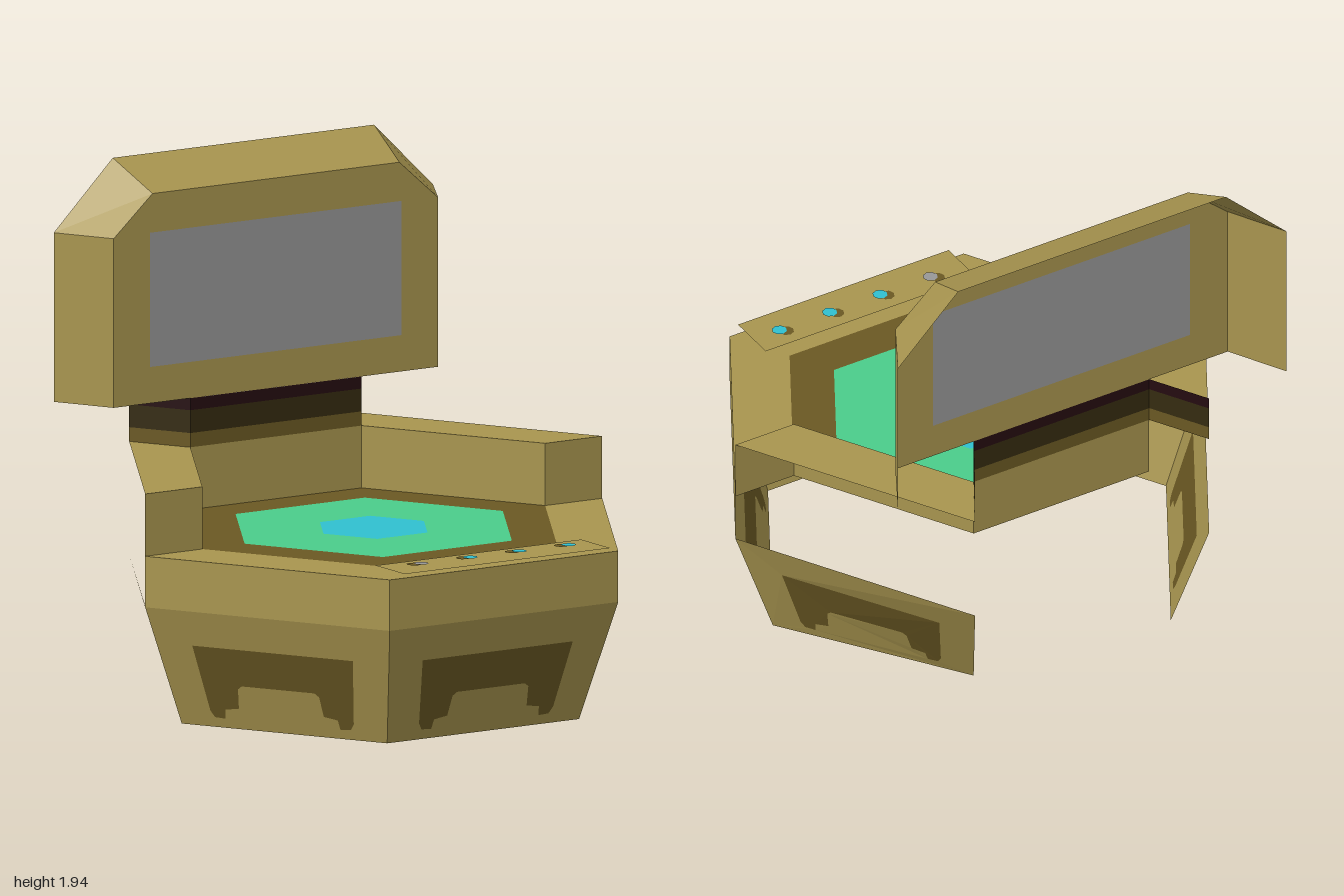
import * as THREE from 'three';

const CZ = -0.012; // centre of the hexagon in z

function material(name, color) {
  const m = new THREE.MeshStandardMaterial({ color, side: THREE.DoubleSide, flatShading: true });
  m.name = name;
  return m;
}

// corner k of a hexagon; 0 = +x, 1 and 2 = front, 4 and 5 = back
const corner = (k, r, y) => {
  const a = k * Math.PI / 3;
  return new THREE.Vector3(r * Math.cos(a), y, CZ + r * Math.sin(a));
};

// flat faces from lists of four corners
function quads(list) {
  const points = [];
  for (const [a, b, c, d] of list) points.push(a, b, c, a, c, d);
  const g = new THREE.BufferGeometry().setFromPoints(points);
  g.computeVertexNormals();
  return g;
}

// band between two hexagons over the sides listed
const band = (sides, r0, y0, r1, y1) => quads(sides.map(k =>
  [corner(k, r0, y0), corner(k, r1, y1), corner(k + 1, r1, y1), corner(k + 1, r0, y0)]));

// lay a flat shape (u -1..1, v 0..1) over a four-cornered panel
function layOn(shape, [bl, br, tr, tl]) {
  const g = new THREE.ShapeGeometry(shape).toNonIndexed();
  const p = g.attributes.position;
  for (let i = 0; i < p.count; i++) {
    const u = (p.getX(i) + 1) / 2, v = p.getY(i);
    const low = bl.clone().lerp(br, u), high = tl.clone().lerp(tr, u);
    low.lerp(high, v);
    p.setXYZ(i, low.x, low.y, low.z);
  }
  g.computeVertexNormals();
  return g;
}

const shapeOf = pts => new THREE.Shape(pts.map(([x, y]) => new THREE.Vector2(x, y)));
const mirrored = half => [...half, ...half.map(([x, y]) => [-x, y]).reverse()];

export function createModel() {
  const model = new THREE.Group();
  const gold = material('gold', 0xa8954f);
  const brown = material('brown', 0x6a5823);
  const darkBrown = material('dark brown', 0x352b10);
  const nearBlack = material('near black', 0x250c10);
  const green = material('green', 0x4acd8a);
  const cyan = material('cyan', 0x30c0d0);
  const grey = material('grey', 0x979797);
  const add = (name, geometry, mat) => {
    const mesh = new THREE.Mesh(geometry, mat);
    mesh.name = name;
    model.add(mesh);
    return mesh;
  };

  // sloping base panels with arch-shaped insets; the back side is open
  const arch = mirrored([[0.33, 0.38], [0.37, 0.35], [0.40, 0.18], [0.53, 0.16],
    [0.55, 0.08], [0.65, 0.085], [0.68, 0.14], [0.69, 0.70]]);
  const panel = shapeOf([[-1, 0], [1, 0], [1, 1], [-1, 1]]);
  panel.holes.push(shapeOf(arch));
  for (const k of [0, 1, 2, 3, 5]) {
    const c = [corner(k + 1, 0.84, 0), corner(k, 0.84, 0), corner(k, 1, 0.45), corner(k + 1, 1, 0.45)];
    if (k === 5) c[1] = corner(5, 0.75, 0); // this panel twists inward at its rear foot
    add('basePanel', layOn(panel, c), gold);
    add('baseInset', layOn(shapeOf(arch), c), brown);
  }

  // low front wall and rim
  add('frontWall', band([0, 1, 2], 1, 0.45, 1, 0.64), gold);
  add('frontRim', band([0, 1, 2], 0.75, 0.64, 1, 0.64), gold);

  // raised back wall, side rims and their end faces
  add('backWall', band([3, 4, 5], 0.75, 0.64, 0.75, 0.872), gold);
  add('backRim', band([3, 5], 0.75, 0.872, 1, 0.872), gold);
  add('rimEnds', quads([0, 3].map(k => [corner(k, 0.75, 0.64), corner(k, 1, 0.64),
    corner(k, 1, 0.872), corner(k, 0.75, 0.872)])), gold);

  // table top in nested hexagons
  const all = [0, 1, 2, 3, 4, 5];
  add('tableBorder', band(all, 0.565, 0.64, 0.75, 0.64), brown);
  add('tableField', band(all, 0.22, 0.64, 0.565, 0.64), green);
  add('tableCentre', band(all, 0, 0.64, 0.22, 0.64), cyan);

  // control plate with four buttons
  const plate = add('controlPlate', new THREE.PlaneGeometry(0.9, 0.195).rotateX(-Math.PI / 2), gold);
  plate.position.set(0, 0.66, 0.78);
  [-0.32, -0.105, 0.11, 0.325].forEach((x, i) => {
    const disc = (name, dx, y, z, mat) => {
      const d = add(name, new THREE.CircleGeometry(0.028, 8).rotateX(-Math.PI / 2), mat);
      d.position.set(x + dx, y, z);
    };
    disc('buttonSocket', -0.005, 0.663, 0.75, brown);
    disc('button', 0.017, 0.666, 0.764, i === 0 ? grey : cyan);
  });

  // three-sided neck in stacked stripes
  const neckBand = (y0, y1) => quads([
    [corner(5, 1, y0), corner(5, 0.75, y0), corner(5, 0.75, y1), corner(5, 1, y1)],
    [corner(5, 0.75, y0), corner(4, 0.75, y0), corner(4, 0.75, y1), corner(5, 0.75, y1)],
    [corner(4, 0.75, y0), corner(4, 1, y0), corner(4, 1, y1), corner(4, 0.75, y1)],
  ]);
  add('neckBase', neckBand(0.872, 0.925), brown);
  add('neckMiddle', neckBand(0.925, 1.01), darkBrown);
  add('neckTop', neckBand(1.01, 1.055), nearBlack);

  // screen housing: flared sides, open at the back and below
  const inner = mirrored([[0.71, 1.055], [0.71, 1.685], [0.54, 1.835]]);
  const outer = mirrored([[0.83, 1.055], [0.83, 1.685], [0.572, 1.936]]);
  const at = ([x, y], z) => new THREE.Vector3(x, y, z);
  const zFront = -0.662, zBack = -0.878;
  add('screenSides', quads(inner.slice(1).map((p, i) =>
    [at(inner[i], zFront), at(outer[i], zBack), at(outer[i + 1], zBack), at(p, zFront)])), gold);

  const screen = [[-0.55, 1.19], [0.55, 1.19], [0.55, 1.69], [-0.55, 1.69]];
  const face = shapeOf(inner);
  face.holes.push(shapeOf(screen));
  add('screenFrame', new THREE.ShapeGeometry(face), gold).position.z = zFront;
  add('screen', new THREE.ShapeGeometry(shapeOf(screen)), grey).position.z = zFront;

  return model;
}
